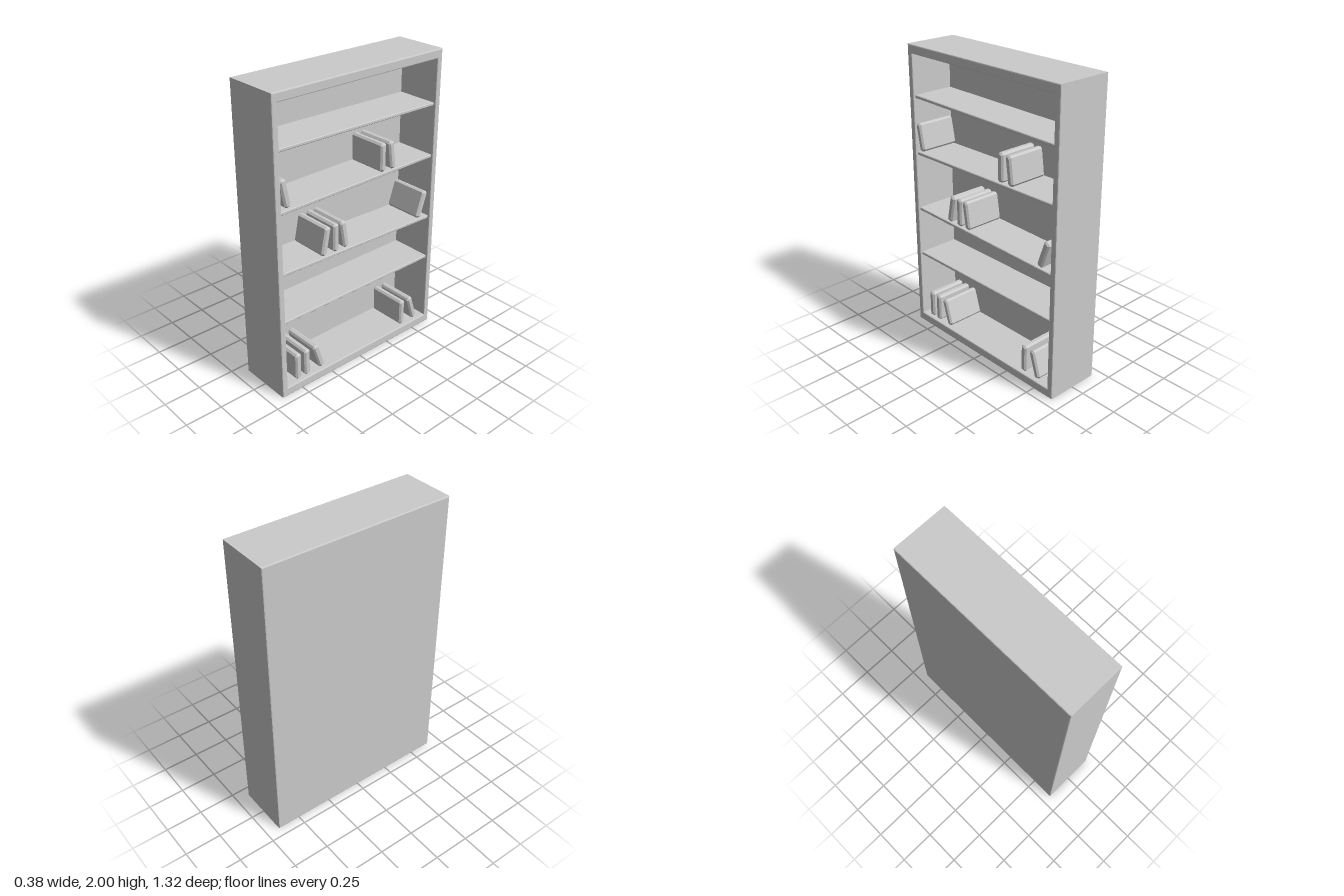
import * as THREE from 'three';

const material = new THREE.MeshStandardMaterial({ color: 0xcccccc, flatShading: true });

// Rectangle outline with optional cut corners
function outline(Path, w, h, cut = 0) {
  const a = w / 2, b = h / 2, c = cut;
  const pts = c
    ? [[-a + c, -b], [a - c, -b], [a, -b + c], [a, b - c], [a - c, b], [-a + c, b], [-a, b - c], [-a, -b + c]]
    : [[-a, -b], [a, -b], [a, b], [-a, b]];
  return new Path(pts.map(([x, y]) => new THREE.Vector2(x, y)));
}

// Extrudes an outline along x with bevelled ends, centred on the origin
function extrudeX(shape, length, bevel, segments = 1) {
  const geometry = new THREE.ExtrudeGeometry(shape, {
    depth: length - 2 * bevel, bevelEnabled: true, bevelThickness: bevel,
    bevelSize: bevel, bevelOffset: -bevel, bevelSegments: segments,
  });
  return geometry.center().rotateY(Math.PI / 2);
}

function addPart(parent, name, geometry, x, y, z, tilt = 0) {
  const mesh = new THREE.Mesh(geometry, material);
  mesh.name = name;
  mesh.position.set(x, y, z);
  mesh.rotation.x = tilt;
  parent.add(mesh);
  return mesh;
}

export function createModel() {
  const model = new THREE.Group();
  model.name = 'bookcase';

  // Outer frame, open towards +x, with softened edges
  const W = 1.32, H = 2, D = 0.38, innerW = 1.24, innerH = 1.88, bevel = 0.007;
  const frame = outline(THREE.Shape, W, H);
  frame.holes.push(outline(THREE.Path, innerW, innerH));
  addPart(model, 'frame', extrudeX(frame, D, bevel, 2), 0, H / 2, 0);

  // Back panel closing the frame
  const panel = new THREE.BoxGeometry(0.075, innerH + 2 * bevel, innerW + 2 * bevel);
  addPart(model, 'backPanel', panel, -D / 2 + 0.0375, H / 2, 0);

  // Shelves: height, tilt (some sit slightly crooked)
  const shelf = extrudeX(outline(THREE.Shape, 1.25, 0.021, 0.004), 0.295, 0.004);
  const shelves = new THREE.Group();
  shelves.name = 'shelves';
  model.add(shelves);
  [[1.653, -0.0137], [1.282, 0.0113], [0.859, -0.024], [0.535, 0]]
    .forEach(([y, tilt]) => addPart(shelves, 'shelf', shelf, 0.0275, y, 0, tilt));

  // Books: z, y, lean
  const book = extrudeX(outline(THREE.Shape, 0.045, 0.187, 0.012), 0.275, 0.011);
  const books = new THREE.Group();
  books.name = 'books';
  model.add(books);
  [
    [0.522, 0.17, 0], [0.451, 0.17, 0], [0.355, 0.17, 0.3], [-0.4, 0.17, 0], [-0.496, 0.17, 0.3],
    [0.284, 0.981, -0.2], [0.204, 0.981, 0], [0.135, 0.981, 0.16], [-0.549, 0.96, -0.33],
    [0.58, 1.395, 0.2], [-0.183, 1.4, 0], [-0.26, 1.398, 0.13],
  ].forEach(([z, y, lean]) => addPart(books, 'book', book, 0.047, y, z, lean));

  return model;
}
